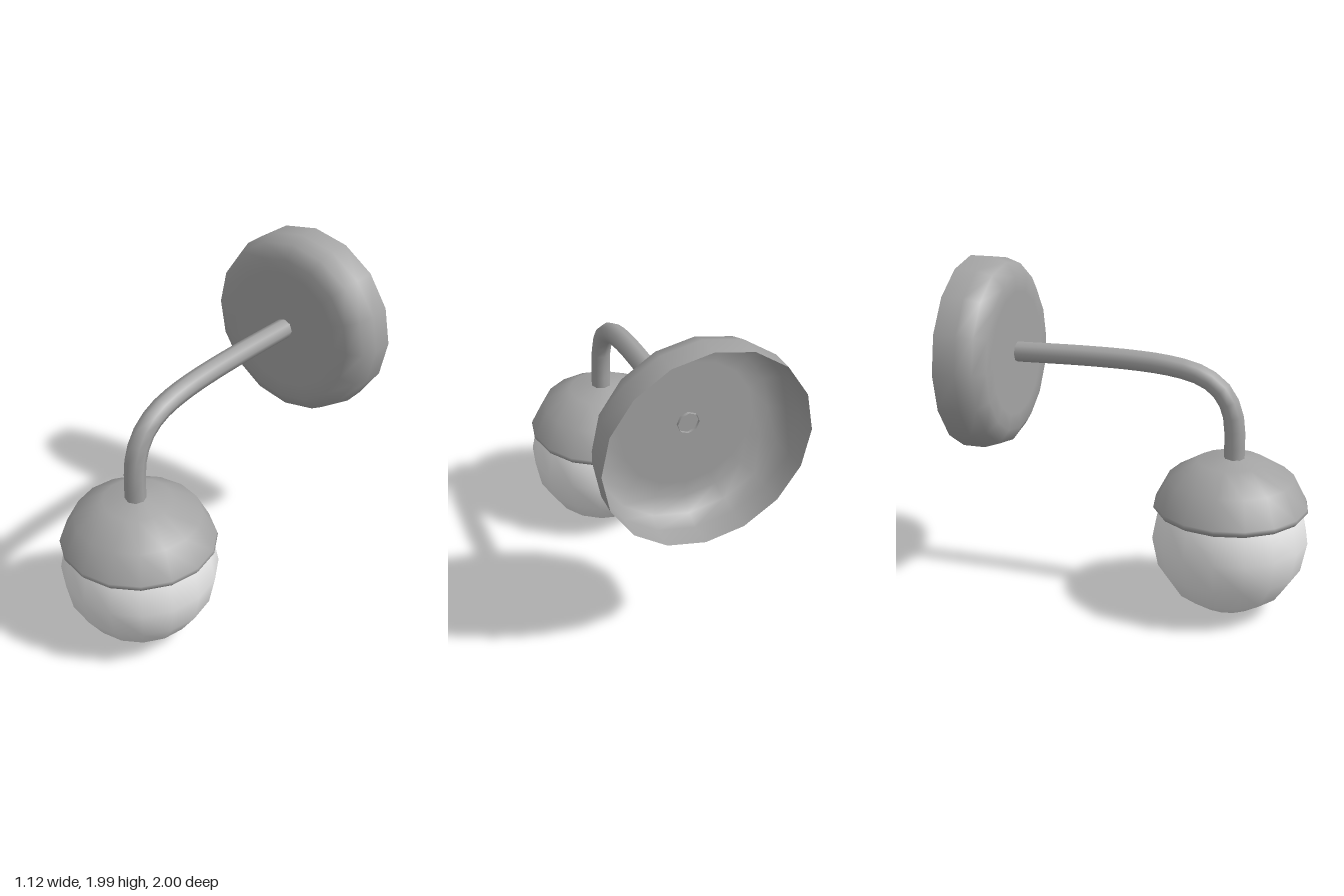
import * as THREE from 'three';

const SIDES = 16;

const metal = new THREE.MeshStandardMaterial({ color: 0xa3a3a3, side: THREE.DoubleSide });
metal.name = 'grey metal';
const glass = new THREE.MeshStandardMaterial({ color: 0xe7e7e7 });
glass.name = 'white glass';

function part(name, geometry, material, x, y, z) {
  const mesh = new THREE.Mesh(geometry, material);
  mesh.name = name;
  mesh.position.set(x, y, z);
  return mesh;
}

// Turned shape from [radius, height] pairs, listed from bottom to top
function turned(profile) {
  return new THREE.LatheGeometry(profile.map(([r, h]) => new THREE.Vector2(r, h)), SIDES);
}

export function createModel() {
  const lamp = new THREE.Group();
  lamp.name = 'wallLamp';

  // Hollow wall plate, open towards the wall
  const plate = turned([[0.56, 0], [0.56, 0.13], [0.53, 0.22], [0.45, 0.27], [0.36, 0.27], [0, 0.27]]);
  plate.rotateX(Math.PI / 2);
  lamp.add(part('wallPlate', plate, metal, 0, 1.43, -1));

  // Bent arm from the shade cap back through the plate, as [y, z]
  const path = new THREE.CatmullRomCurve3([
    [0.91, 0.563], [1.07, 0.563], [1.21, 0.54], [1.325, 0.467], [1.395, 0.348],
    [1.43, 0.185], [1.445, 0], [1.45, -0.3], [1.443, -0.745],
  ].map(([y, z]) => new THREE.Vector3(0, y, z)));
  lamp.add(part('arm', new THREE.TubeGeometry(path, 20, 0.06, 8), metal, 0, 0, 0));

  // Domed cap with a small rolled rim
  const cap = turned([
    [0.405, 0.625], [0.43, 0.62], [0.445, 0.64], [0.44, 0.655],
    [0.36, 0.808], [0.195, 0.907], [0, 0.935],
  ]);
  lamp.add(part('shadeCap', cap, metal, 0, 0, 0.55));

  // Globe
  lamp.add(part('globe', new THREE.SphereGeometry(0.45, SIDES, SIDES / 2), glass, 0, 0.45, 0.55));

  return lamp;
}
